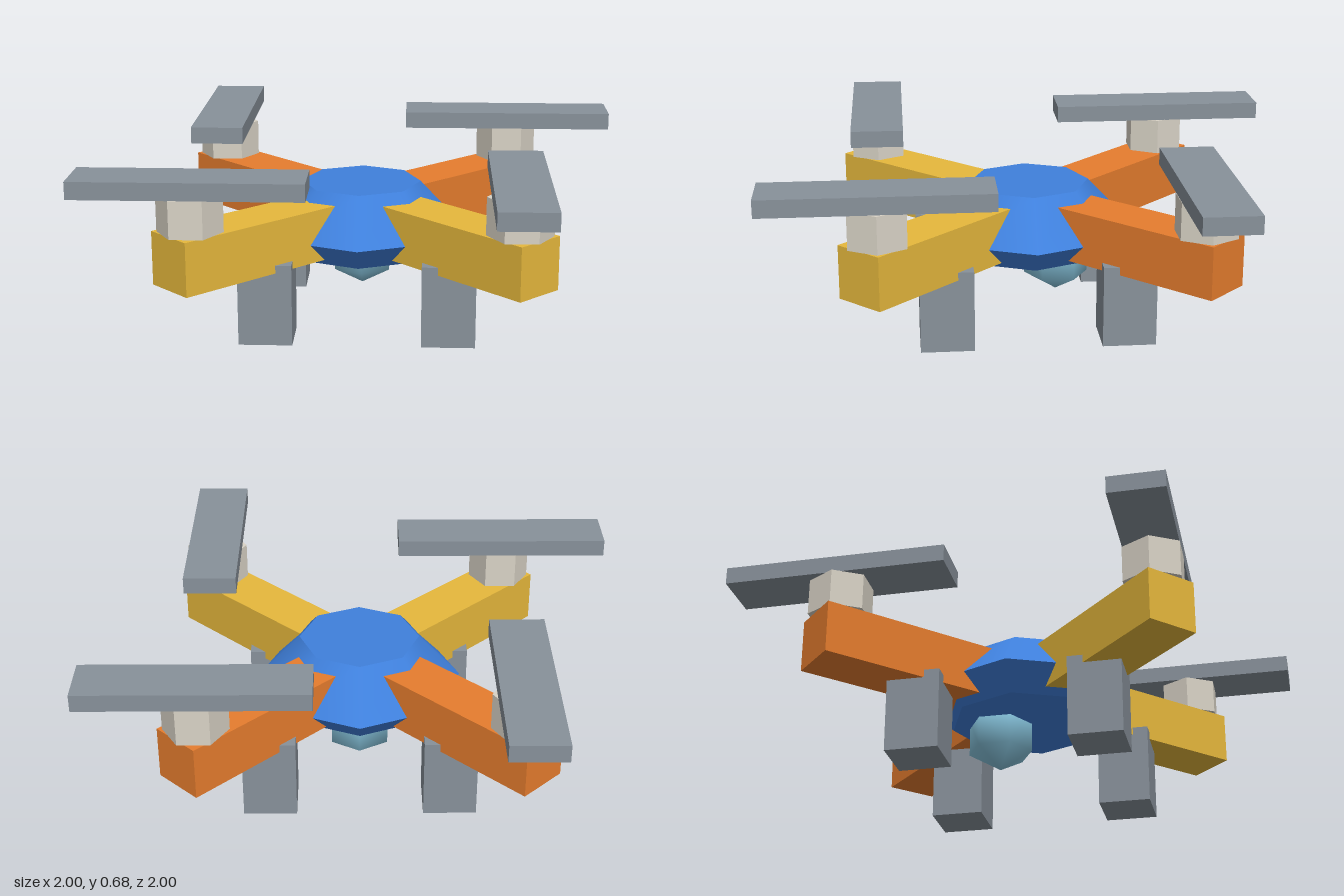
import * as THREE from 'three';

const mat = (color, flatShading = false) => new THREE.MeshStandardMaterial({ color, flatShading });

export function createModel() {
  const model = new THREE.Group();
  model.name = 'quadcopter';

  const blue = mat(0x3f80dc);
  const yellow = mat(0xe6b83c);
  const orange = mat(0xe67d2e);
  const grey = mat(0x88919a);
  const cream = mat(0xd9d3c6, true);
  const glass = mat(0x86c3dc);

  const add = (parent, name, geometry, material, x, y, z) => {
    const mesh = new THREE.Mesh(geometry, material);
    mesh.name = name;
    mesh.position.set(x, y, z);
    parent.add(mesh);
    return mesh;
  };

  // Eight-sided hull: two truncated cones meeting at the widest ring
  add(model, 'upperHull', new THREE.CylinderGeometry(0.23, 0.39, 0.17, 8), blue, 0, 0.435, 0);
  add(model, 'lowerHull', new THREE.CylinderGeometry(0.39, 0.295, 0.095, 8), blue, 0, 0.3025, 0);

  // Camera ball slung under the rear of the hull
  const ball = add(model, 'cameraBall', new THREE.SphereGeometry(0.143, 6, 3), glass, 0, 0.214, -0.105);
  ball.rotation.y = Math.PI / 2;

  const armGeo = new THREE.BoxGeometry(0.82, 0.2, 0.2);
  const motorGeo = new THREE.CylinderGeometry(0.12, 0.12, 0.14, 6);
  const bladeGeo = new THREE.BoxGeometry(0.835, 0.065, 0.205);
  const legGeo = new THREE.BoxGeometry(0.2, 0.31, 0.2);

  // Four diagonal arms, each with a leg, a motor and a rotor blade
  for (const sx of [-1, 1]) {
    for (const sz of [-1, 1]) {
      const unit = new THREE.Group();
      unit.name = `${sz > 0 ? 'front' : 'back'}${sx > 0 ? 'Left' : 'Right'}Rotor`;
      model.add(unit);

      const mid = 0.51 * Math.SQRT1_2;
      const arm = add(unit, 'arm', armGeo, sz > 0 ? yellow : orange, sx * mid, 0.38, sz * mid);
      arm.rotation.y = -sx * sz * Math.PI / 4;

      add(unit, 'leg', legGeo, grey, sx * 0.338, 0.155, sz * 0.338);

      const motor = add(unit, 'motor', motorGeo, cream, sx * 0.582, 0.55, sz * 0.582);
      motor.rotation.y = Math.PI / 2;

      // Blades alternate direction around the hull
      const blade = add(unit, 'blade', bladeGeo, grey, sx * 0.582, 0.652, sz * 0.582);
      if (sx === sz) blade.rotation.y = Math.PI / 2;
    }
  }

  return model;
}
